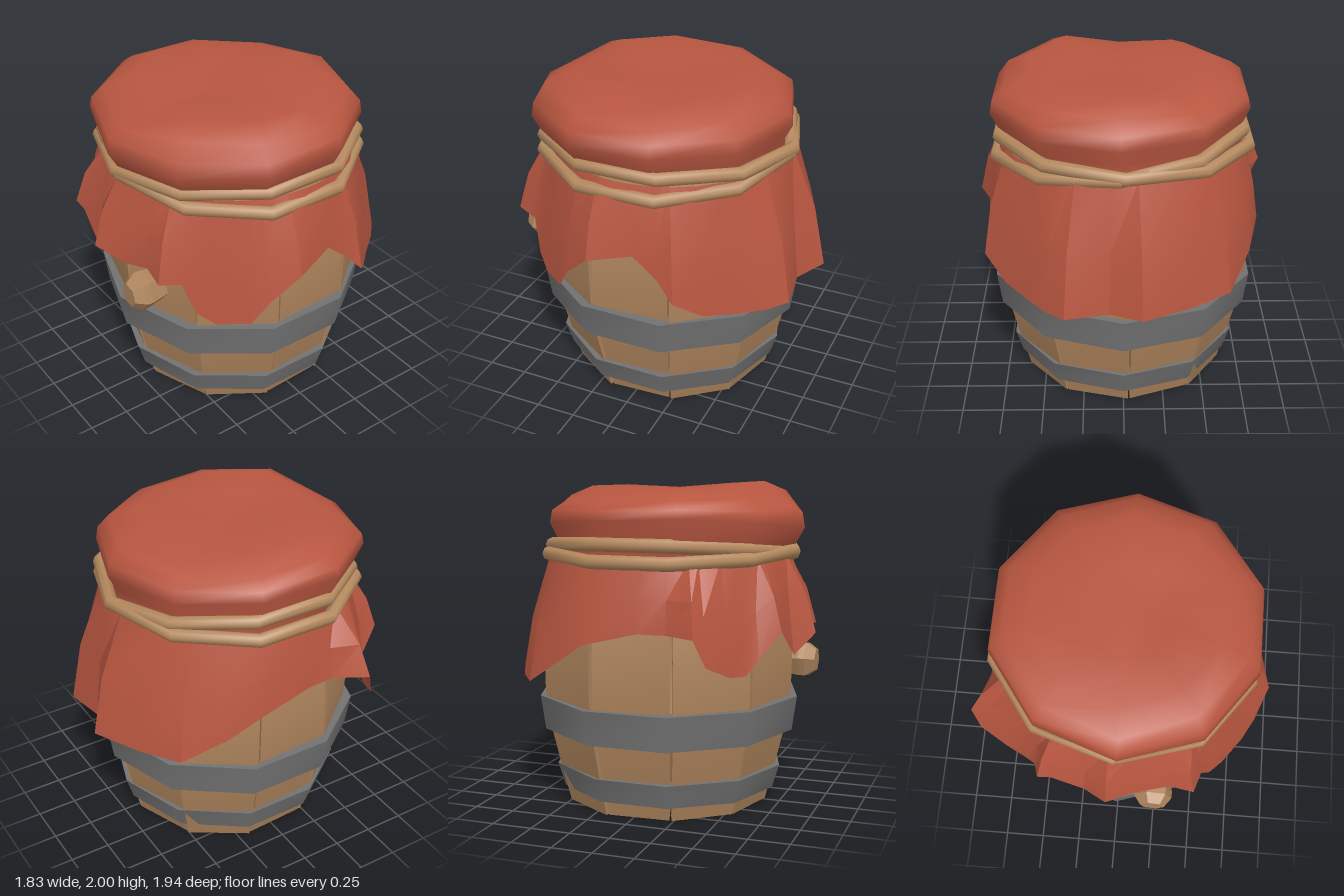
import * as THREE from 'three';
import { mergeVertices, toCreasedNormals } from 'three/addons/utils/BufferGeometryUtils.js';

const V = (x, y, z) => new THREE.Vector3(x, y, z);
const DEG = Math.PI / 180;
const SIDES = 10;

// Point at an angle measured from the front (+z) towards +x
const polar = (deg, r, y, cx = 0, cz = 0) =>
  V(cx + r * Math.sin(deg * DEG), y, cz + r * Math.cos(deg * DEG));
const ringOf = (fn) => Array.from({ length: SIDES }, (_, k) => fn(k, k * 36));

// Skin a list of closed rings; optionally join last ring to first, or cap the ends
function loft(rings, { loop = false, caps = false, crease = null } = {}) {
  const n = rings[0].length, index = [];
  const spans = loop ? rings.length : rings.length - 1;
  for (let i = 0; i < spans; i++) {
    const j = (i + 1) % rings.length;
    for (let k = 0; k < n; k++) {
      const l = (k + 1) % n;
      index.push(i * n + k, i * n + l, j * n + l, i * n + k, j * n + l, j * n + k);
    }
  }
  if (caps) {
    const t = (rings.length - 1) * n;
    for (let k = 1; k < n - 1; k++) index.push(0, k + 1, k, t, t + k, t + k + 1);
  }
  let g = new THREE.BufferGeometry().setFromPoints(rings.flat());
  g.setIndex(index);
  g = mergeVertices(g);
  if (crease !== null) return toCreasedNormals(g, crease);
  g.computeVertexNormals();
  return g;
}

export function createModel() {
  const model = new THREE.Group();
  const mat = (name, color, side = THREE.FrontSide) =>
    new THREE.MeshStandardMaterial({ name, color, side });
  const wood = mat('wood', 0xae845c);
  const darkWood = mat('dark wood', 0x7a5a3c);
  const metal = mat('grey metal', 0x727272);
  const cloth = mat('red cloth', 0xb85640, THREE.DoubleSide);
  const cord = mat('cord', 0xb58a5f);
  const add = (name, geo, material, parent = model) => {
    const m = new THREE.Mesh(geo, material);
    m.name = name;
    parent.add(m);
    return m;
  };

  // Barrel staves: bulging planks with thin gaps
  const staves = new THREE.Group();
  staves.name = 'staves';
  model.add(staves);
  const profile = [[0, 0.645], [0.25, 0.71], [0.48, 0.765], [0.72, 0.8], [1.0, 0.805], [1.3, 0.765], [1.55, 0.7]];
  for (let k = 0; k < SIDES; k++) {
    const a = 3 + k * 36 + 0.5, b = 3 + (k + 1) * 36 - 0.5;
    const shift = 0.008 * Math.sin(k * 2.4);
    const rings = profile.map(([y, r]) => {
      const R = r + shift;
      return [polar(a, R, y), polar(b, R, y), polar(b, R - 0.09, y), polar(a, R - 0.09, y)];
    });
    add('stave', loft(rings, { caps: true, crease: 0.3 }), wood, staves);
  }

  // Recessed base board, also closing the barrel behind the gaps
  const base = add('baseBoard', new THREE.CylinderGeometry(0.6, 0.57, 0.1, 10), darkWood);
  base.position.y = 0.08;
  base.rotation.y = 3 * DEG;

  // Metal hoops
  const hoop = (name, y0, r0, y1, r1, tilt) => {
    const ring = (r, y) => ringOf((k, d) => polar(d, r, y + tilt * Math.sin(d * DEG), 0, 0.01));
    add(name, loft([ring(r0 - 0.1, y0), ring(r0, y0), ring(r1, y1), ring(r1 - 0.1, y1)],
      { loop: true, crease: 0.7 }), metal);
  };
  hoop('lowerHoop', 0.085, 0.69, 0.235, 0.735, -0.006);
  hoop('upperHoop', 0.47, 0.81, 0.685, 0.84, 0.005);

  // Bung on the front
  const bungProfile = [[0, -0.12], [0.1, -0.12], [0.122, -0.01], [0.12, 0.03], [0.075, 0.09], [0, 0.09]];
  const bungGeo = new THREE.LatheGeometry(bungProfile.map(([r, y]) => new THREE.Vector2(r, y)), 6).toNonIndexed();
  bungGeo.computeVertexNormals();
  const bung = add('bung', bungGeo, wood);
  bung.rotation.set(Math.PI / 2, 0.35, 0);
  bung.position.set(0.235, 0.88, 0.83);

  // Puffed cloth cover over the top
  const rim = [1.92, 2.0, 1.98, 1.95, 1.97, 1.97, 1.94, 1.96, 1.97, 1.97];
  const lift = [0, 0.01, 0.02, 0.03, 0.02, 0.02, 0.03, 0.06, 0.08, 0.05];
  const coverRing = (r, yOf) => ringOf((k, d) => polar(d, r, yOf(k), 0.015, 0.06));
  add('clothCover', loft([
    ringOf((k, d) => polar(d, 0.745, 1.56, 0, 0.03)),
    coverRing(0.765, (k) => 1.64 + lift[k] * 0.5),
    coverRing(0.815, (k) => 1.73 + lift[k]),
    coverRing(0.8, (k) => 1.82 + lift[k] * 0.5),
    coverRing(0.73, (k) => rim[k] - 0.06),
    coverRing(0.58, (k) => rim[k]),
    coverRing(0.3, (k) => rim[k] * 0.4 + 1.95 * 0.6),
    coverRing(0, () => 1.94),
  ]), cloth);

  // Hanging cloth skirt: ragged hem, from the front round by the left side
  const hem = [
    [-0.05, 1.1, 0.97], [0.13, 1.04, 0.88], [0.33, 1.1, 0.84], [0.48, 1.08, 0.86],
    [0.52, 1.05, 0.73], [0.58, 0.85, 0.67], [0.66, 0.78, 0.58], [0.78, 0.79, 0.42],
    [0.84, 0.94, 0.33], [0.91, 1.1, 0.16], [0.86, 1.13, 0], [0.83, 1.15, -0.1],
    [0.82, 1.02, -0.25], [0.85, 0.9, -0.36], [0.72, 0.78, -0.5], [0.58, 0.75, -0.65],
    [0.46, 0.75, -0.8], [0.35, 0.76, -0.9], [0.08, 0.77, -0.86], [-0.11, 0.79, -0.97],
    [-0.41, 0.79, -0.82], [-0.64, 0.8, -0.67], [-0.77, 0.95, -0.43], [-0.83, 1.08, -0.23],
    [-0.82, 1.16, 0.1], [-0.81, 1.16, 0.27], [-0.92, 1.16, 0.47], [-0.87, 1.0, 0.53],
    [-0.7, 0.92, 0.62], [-0.58, 0.91, 0.68], [-0.51, 1.0, 0.74], [-0.47, 1.16, 0.86],
    [-0.39, 1.13, 0.85], [-0.19, 0.98, 0.87],
  ].map((p) => V(...p));
  const neck = hem.map((p) => polar(Math.atan2(p.x, p.z) / DEG, 0.755, 1.57, 0, 0.02));
  const middle = hem.map((p, i) => {
    const m = neck[i].clone().lerp(p, 0.68);
    m.y = THREE.MathUtils.lerp(neck[i].y, p.y, 0.52);
    return m;
  });
  add('clothSkirt', loft([hem, middle, neck], { crease: 0.4 }), cloth);

  // Two tilted cord loops tied around the neck
  const cordLoop = (name, R, y, slope, cx) => {
    const rings = Array.from({ length: 8 }, (_, i) => {
      const phi = i * Math.PI / 4;
      return ringOf((k, d) => polar(d, R + 0.042 * Math.cos(phi),
        y + slope * Math.sin(d * DEG) + 0.042 * Math.sin(phi), cx, 0.03));
    });
    add(name, loft(rings, { loop: true }), cord);
  };
  cordLoop('upperCord', 0.785, 1.59, 0.035, -0.01);
  cordLoop('lowerCord', 0.775, 1.575, -0.085, 0.02);

  return model;
}
